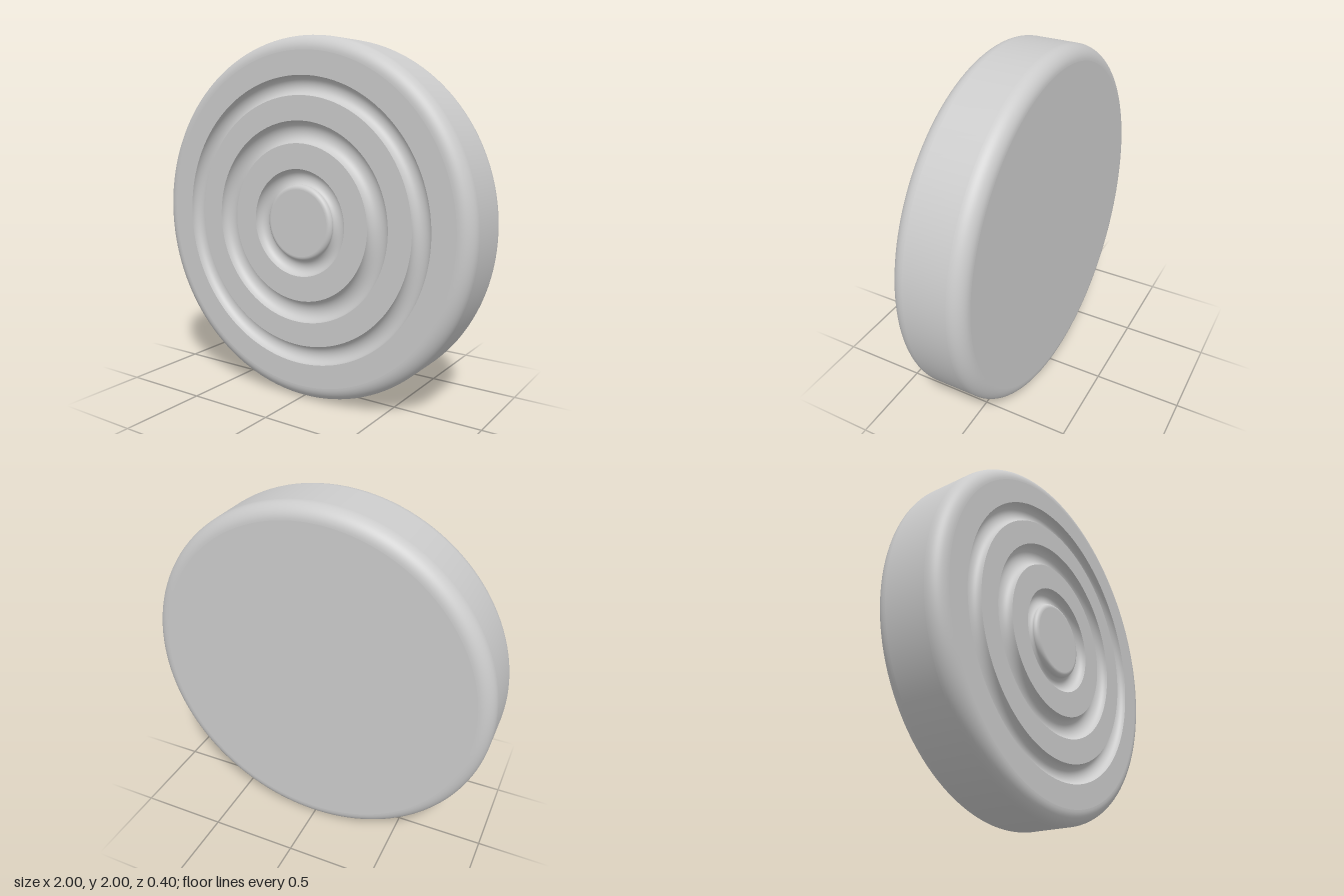
import * as THREE from 'three';

const FRONT = 0.2;   // half thickness of the disc
const ROUND = 0.08;  // rim rounding
const SEGMENTS = 128;

export function createModel() {
  const group = new THREE.Group();
  const material = new THREE.MeshStandardMaterial({ color: 0xcccccc });

  // Revolves one smooth run of [radius, z] points about the z axis
  function revolve(name, points) {
    const geometry = new THREE.LatheGeometry(points.map(([r, z]) => new THREE.Vector2(Math.max(r, 0), z)), SEGMENTS);
    geometry.rotateX(Math.PI / 2);
    const mesh = new THREE.Mesh(geometry, material);
    mesh.name = name;
    mesh.position.y = 1;
    group.add(mesh);
  }

  // Elliptical arc as profile points, angles in quarter turns
  function arc(r, z, rx, rz, from, to, steps = 12) {
    return Array.from({ length: steps + 1 }, (_, i) => {
      const a = (from + (to - from) * i / steps) * Math.PI / 2;
      return [r + rx * Math.cos(a), z + rz * Math.sin(a)];
    });
  }

  // Back face and rounded outer rim
  const inner = 1 - ROUND, edge = FRONT - ROUND;
  revolve('backFace', [[0, -FRONT], [inner, -FRONT]]);
  revolve('backRounding', arc(inner, -edge, ROUND, ROUND, -1, 0));
  revolve('rimWall', [[1, -edge], [1, edge]]);
  revolve('frontRounding', arc(inner, edge, ROUND, ROUND, 0, 1));

  // Flat front rings separated by round-bottomed grooves
  revolve('outerRing', [[inner, FRONT], [0.79, FRONT]]);
  revolve('outerGroove', arc(0.738, FRONT, 0.052, 0.05, 0, -2, 20));
  revolve('middleRing', [[0.686, FRONT], [0.553, FRONT]]);
  revolve('middleGroove', arc(0.493, FRONT, 0.06, 0.055, 0, -2, 20));
  revolve('innerRing', [[0.433, FRONT], [0.295, FRONT]]);

  // Innermost groove blends smoothly into the rounded centre button
  revolve('centreGroove', [
    ...arc(0.247, FRONT, 0.048, 0.05, 0, -1.6, 16),
    ...arc(0.185, FRONT - 0.025, 0.025, 0.025, 0, 1, 8),
  ]);
  revolve('centreButton', [[0.185, FRONT], [0, FRONT]]);

  return group;
}
